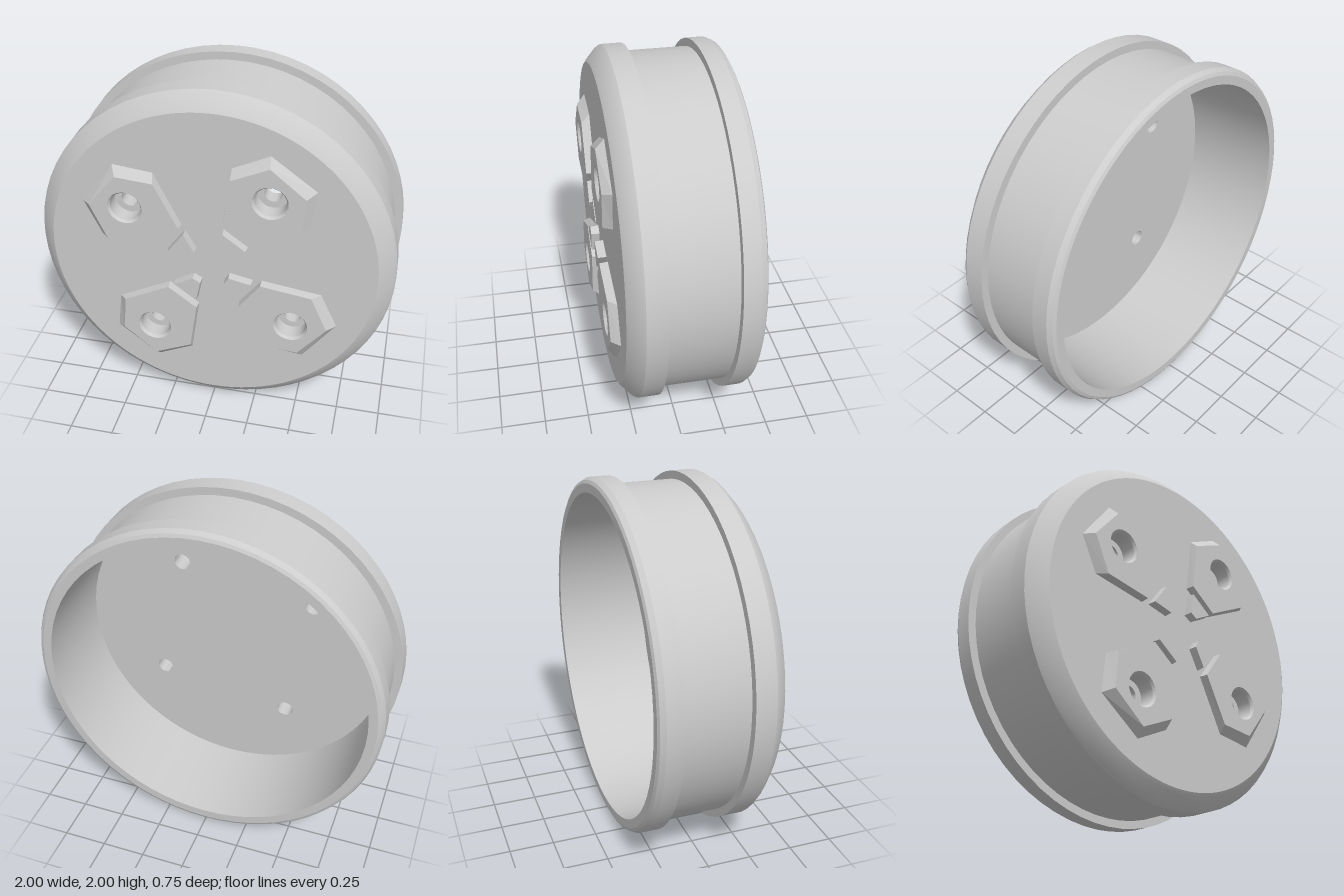
import * as THREE from 'three';
import { toCreasedNormals } from 'three/addons/utils/BufferGeometryUtils.js';

const SEG = 64, BORE_SEG = 32;
const FACE_Z = 0.325, PAD_Z = 0.373, STEP_Z = 0.27, FLOOR_Z = 0.185;
const WALL_R = 0.91;
const BORE = { x: 0.325, y: 0.46, rim: 0.096, wide: 0.085, narrow: 0.048 };

// Raised pad and tip outlines, counter-clockwise
const padBase = [[0.535, 0.31], [0.56, 0.53], [0.315, 0.71], [0.115, 0.615], [0.07, 0.285], [0.235, 0.16]];
const padTop = [[0.493, 0.298], [0.51, 0.505], [0.32, 0.66], [0.115, 0.568], [0.075, 0.285], [0.235, 0.167]];
const tipBase = [[0.205, 0.14], [0.073, 0.237], [0.047, 0.106], [0.093, 0.079]];
const tipTop = [[0.2, 0.141], [0.076, 0.232], [0.051, 0.108], [0.093, 0.083]];

const vec = ([x, y]) => new THREE.Vector2(x, y);
const quarterTurn = (p, i) => vec(p).rotateAround(new THREE.Vector2(), i * Math.PI / 2);

// Surface of revolution about the z axis, profile given as [radius, z]
function turned(profile, segments) {
  const geo = new THREE.LatheGeometry(profile.map(vec), segments).rotateX(Math.PI / 2);
  return toCreasedNormals(geo, 0.4);
}

function circleHole(x, y, r) {
  return new THREE.Path().absarc(x, y, r, 0, Math.PI * 2, true);
}

function disc(radius, holes) {
  const shape = new THREE.Shape().absarc(0, 0, radius, 0, Math.PI * 2, false);
  shape.holes.push(...holes);
  return new THREE.ShapeGeometry(shape, SEG);
}

// Side walls between a base outline and a top outline
function slopedWalls(base, top) {
  const pos = [];
  base.forEach((a, i) => {
    const j = (i + 1) % base.length, b = base[j], c = top[j], d = top[i];
    pos.push(...a, FACE_Z, ...b, FACE_Z, ...c, PAD_Z, ...a, FACE_Z, ...c, PAD_Z, ...d, PAD_Z);
  });
  const geo = new THREE.BufferGeometry();
  geo.setAttribute('position', new THREE.Float32BufferAttribute(pos, 3));
  geo.computeVertexNormals();
  return geo;
}

function topFace(outline, holes) {
  const shape = new THREE.Shape(outline.map(vec));
  shape.holes.push(...holes);
  return new THREE.ShapeGeometry(shape, BORE_SEG).translate(0, 0, PAD_Z);
}

export function createModel() {
  const model = new THREE.Group();
  const grey = new THREE.MeshStandardMaterial({ color: 0xcccccc });
  grey.name = 'grey';
  const add = (parent, name, geo) => {
    const mesh = new THREE.Mesh(geo, grey);
    mesh.name = name;
    parent.add(mesh);
    return mesh;
  };

  const cap = new THREE.Group();
  cap.name = 'cap';
  cap.position.y = 1;
  model.add(cap);

  // Hollow drum: inner wall, rear rim, recessed band, front rim and chamfer
  add(cap, 'drumShell', turned([
    [WALL_R, FLOOR_Z], [WALL_R + 0.008, -0.372], [0.967, -0.372], [0.985, -0.363], [1, -0.335], [1, -0.24],
    [0.955, -0.24], [0.955, 0.125], [1, 0.125], [1, 0.24], [0.985, 0.262],
    [0.93, 0.312], [0.91, FACE_Z],
  ], SEG));

  // Front face open under the pads, inner floor open at the bolt holes
  const faceHoles = [], floorHoles = [];
  for (let i = 0; i < 4; i++) {
    for (const outline of [padBase, tipBase]) {
      faceHoles.push(new THREE.Path(outline.map((p) => quarterTurn(p, i))));
    }
    const c = quarterTurn([BORE.x, BORE.y], i);
    floorHoles.push(circleHole(-c.x, c.y, BORE.narrow));
  }
  add(cap, 'frontFace', disc(0.91, faceHoles)).position.z = FACE_Z;
  add(cap, 'innerFloor', disc(WALL_R, floorHoles).rotateY(Math.PI)).position.z = FLOOR_Z;

  // Four pads with stepped bolt holes and matching tips around the centre
  for (let i = 0; i < 4; i++) {
    const unit = new THREE.Group();
    unit.name = 'padUnit' + (i + 1);
    unit.rotation.z = i * Math.PI / 2;
    cap.add(unit);

    add(unit, 'padSides', slopedWalls(padBase, padTop));
    add(unit, 'padTop', topFace(padTop, [circleHole(BORE.x, BORE.y, BORE.rim)]));
    const bore = turned([
      [BORE.rim, PAD_Z], [BORE.wide, 0.358], [BORE.wide, STEP_Z],
      [BORE.narrow, STEP_Z], [BORE.narrow, FLOOR_Z],
    ], BORE_SEG);
    add(unit, 'boltHole', bore).position.set(BORE.x, BORE.y, 0);
    add(unit, 'tipSides', slopedWalls(tipBase, tipTop));
    add(unit, 'tipTop', topFace(tipTop, []));
  }
  return model;
}
